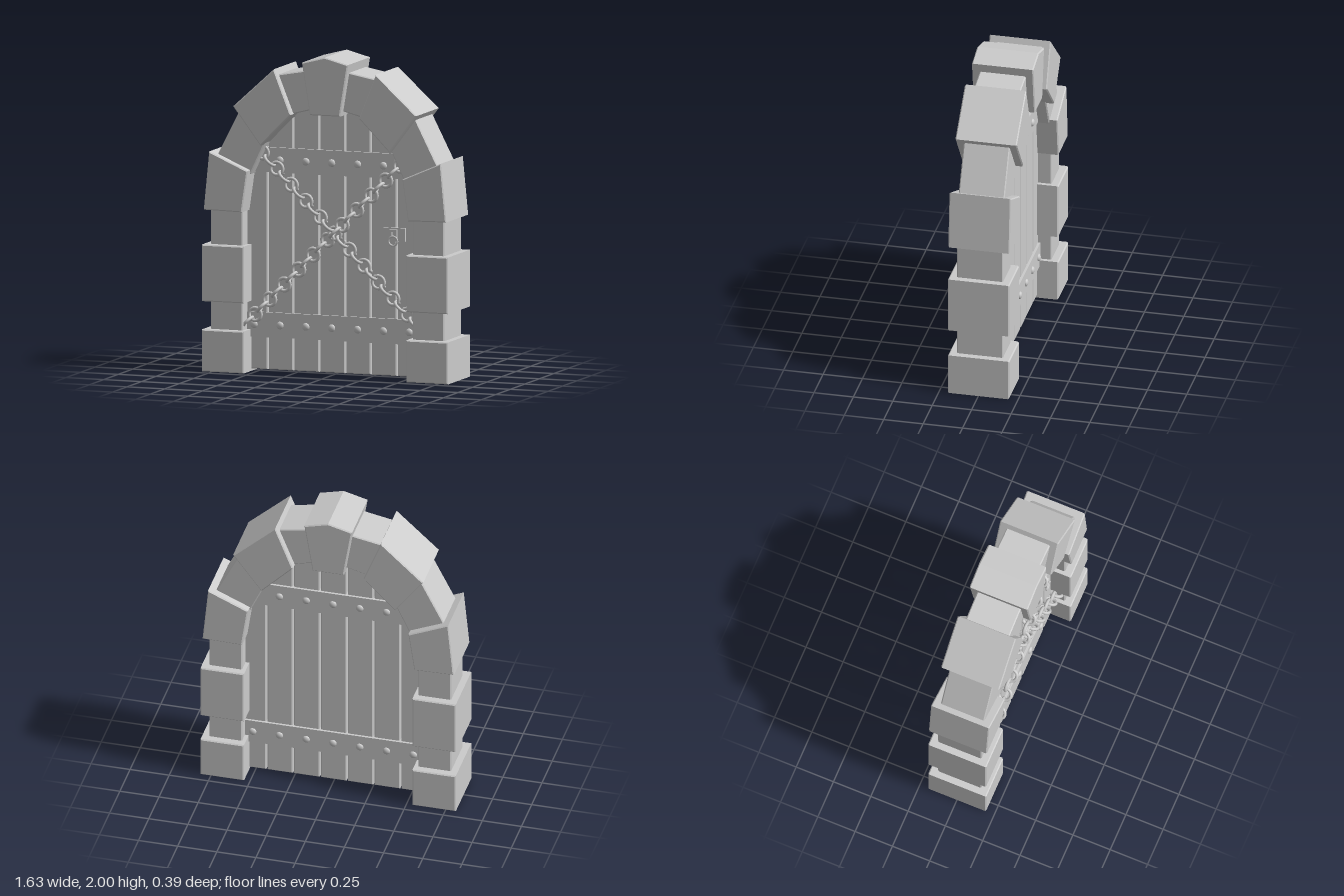
import * as THREE from 'three';

const material = new THREE.MeshStandardMaterial({ color: 0xcccccc });
const BIG = 0.39, SMALL = 0.292;

function add(parent, name, geometry, x = 0, y = 0, z = 0) {
  const mesh = new THREE.Mesh(geometry, material);
  mesh.name = name;
  mesh.position.set(x, y, z);
  parent.add(mesh);
  return mesh;
}

// Stone block: outline extruded along z, with a slim bevel inside the outline
function stoneGeometry(points, depth) {
  const bevel = 0.007;
  const shape = new THREE.Shape(points.map(([x, y]) => new THREE.Vector2(x, y)));
  const geometry = new THREE.ExtrudeGeometry(shape, {
    depth: depth - 2 * bevel, bevelEnabled: true, bevelSegments: 1,
    bevelSize: bevel, bevelThickness: bevel, bevelOffset: -bevel,
  });
  return geometry.translate(0, 0, bevel - depth / 2);
}

const rect = (x0, x1, y0, y1) => [[x0, y0], [x1, y0], [x1, y1], [x0, y1]];

// Stones of the model's left half, counter-clockwise; mirrored for the right
const halfStones = [
  ['baseStone', BIG, rect(0.538, 0.815, 0, 0.262)],
  ['pillar', SMALL, rect(0.562, 0.773, 0.2, 1.06)],
  ['middleStone', BIG, rect(0.538, 0.815, 0.438, 0.792)],
  ['springerStone', BIG, [[0.55, 1.005], [0.803, 1.01], [0.767, 1.375], [0.512, 1.265]]],
  ['lowerArchStone', SMALL, [[0.51, 1.24], [0.745, 1.32], [0.583, 1.635], [0.41, 1.45]]],
  ['upperArchStone', BIG, [[0.427, 1.427], [0.608, 1.665], [0.338, 1.91], [0.225, 1.63]]],
  ['crownStone', SMALL, [[0.09, 1.665], [0.245, 1.625], [0.335, 1.87], [0.12, 1.91]]],
];

function buildArch() {
  const arch = new THREE.Group();
  arch.name = 'stoneArch';
  for (const [name, depth, points] of halfStones) {
    const mirrored = points.map(([x, y]) => [-x, y]).reverse();
    add(arch, name + 'Left', stoneGeometry(points, depth));
    add(arch, name + 'Right', stoneGeometry(mirrored, depth));
  }
  add(arch, 'keystone', stoneGeometry(
    [[-0.1, 1.635], [0.1, 1.635], [0.153, 1.96], [0, 2], [-0.153, 1.96]], BIG));
  return arch;
}

function buildDoor() {
  const door = new THREE.Group();
  door.name = 'door';

  // Seven planks, shorter towards the sides so the arch hides their tops
  const tops = [1.75, 1.73, 1.62, 1.4];
  for (let i = -3; i <= 3; i++) {
    const top = tops[Math.abs(i)], bottom = 0.015;
    const plank = stoneGeometry(rect(-0.082, 0.082, bottom, top), 0.12);
    add(door, 'plank', plank, i * 0.171);
  }

  // Cross bars with domed rivets on both faces
  const barGeometry = new THREE.BoxGeometry(1.18, 0.156, 0.15);
  const rivetGeometry = new THREE.SphereGeometry(0.024, 16, 10);
  for (const y of [0.295, 1.326]) {
    add(door, 'crossBar', barGeometry, 0, y, 0);
    for (const side of [-1, 1]) {
      for (let i = -3; i <= 3; i++) {
        add(door, 'rivet', rivetGeometry, i * 0.171, y, side * 0.075).scale.z = 0.6;
      }
    }
  }
  return door;
}

// Chain of round links, alternately facing forward and standing on edge
function buildChain(name, start, end, count, z) {
  const chain = new THREE.Group();
  chain.name = name;
  const from = new THREE.Vector3(start[0], start[1], 0);
  const to = new THREE.Vector3(end[0], end[1], 0);
  chain.position.set(start[0], start[1], z);
  chain.rotation.z = Math.atan2(to.y - from.y, to.x - from.x);
  const step = from.distanceTo(to) / (count - 1);
  const link = new THREE.TorusGeometry(0.04, 0.0105, 8, 24);
  for (let i = 0; i < count; i++) {
    add(chain, 'chainLink', link, i * step).rotation.x = i % 2 ? Math.PI / 2 : 0;
  }
  return chain;
}

function buildLock() {
  const lock = new THREE.Group();
  lock.name = 'lock';
  lock.position.set(0.414, 0.9, 0.06);
  add(lock, 'lockPlate', new THREE.BoxGeometry(0.142, 0.084, 0.02), 0, 0, 0.005);

  // Raised frame around the keyhole
  const frame = new THREE.Shape(rect(-0.023, 0.023, -0.032, 0.032).map(p => new THREE.Vector2(...p)));
  frame.holes.push(new THREE.Path(rect(-0.01, 0.01, -0.012, 0.018).map(p => new THREE.Vector2(...p))));
  add(lock, 'keyholeFrame', new THREE.ExtrudeGeometry(frame, { depth: 0.022, bevelEnabled: false }), 0, 0, 0.014);

  add(lock, 'pullRing', new THREE.TorusGeometry(0.029, 0.006, 8, 24), 0, -0.038, 0.035);
  return lock;
}

export function createModel() {
  const model = new THREE.Group();
  model.name = 'archedDoorway';
  model.add(
    buildArch(),
    buildDoor(),
    buildChain('chainFallingLeft', [-0.454, 1.372], [0.602, 0.31], 23, 0.088),
    buildChain('chainFallingRight', [0.459, 1.335], [-0.549, 0.311], 22, 0.088),
    buildLock(),
  );
  return model;
}
